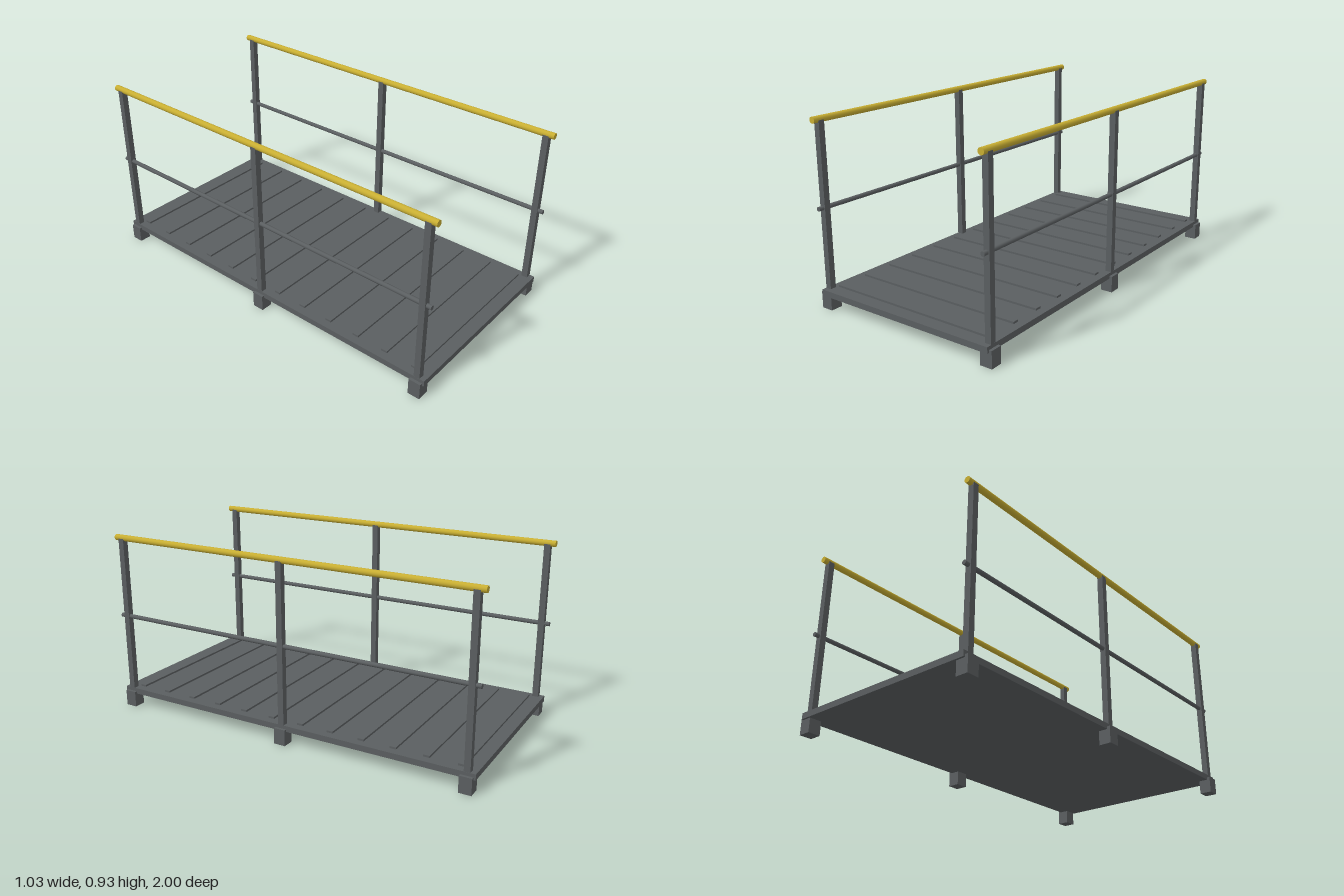
import * as THREE from 'three';

const steel = new THREE.MeshStandardMaterial({ color: 0x5a5e60 });
const yellow = new THREE.MeshStandardMaterial({ color: 0xc8ae32 });

export function createModel() {
  const model = new THREE.Group();
  model.name = 'footbridge';

  const add = (name, geometry, material, x, y, z) => {
    const mesh = new THREE.Mesh(geometry, material);
    mesh.name = name;
    mesh.position.set(x, y, z);
    model.add(mesh);
  };
  const rail = (radius) => new THREE.CylinderGeometry(radius, radius, 2, 16).rotateX(Math.PI / 2);

  // Deck plate with raised anti-slip strips
  add('deck', new THREE.BoxGeometry(1, 0.03, 2), steel, 0, 0.085, 0);
  const strip = new THREE.BoxGeometry(0.917, 0.012, 0.032);
  for (let i = 0; i < 12; i++) {
    add('gripStrip', strip, steel, 0, 0.104, (i - 5.5) / 6);
  }

  // Feet, posts and rails on both sides
  const foot = new THREE.BoxGeometry(0.062, 0.083, 0.062);
  const post = new THREE.BoxGeometry(0.031, 0.82, 0.031);
  const handrail = rail(0.016);
  const midRail = rail(0.011);
  for (const [side, s] of [['left', 1], ['right', -1]]) {
    const x = s * 0.484;
    for (const z of [-0.959, 0, 0.959]) {
      add(side + 'Foot', foot, steel, x, 0.0415, z);
      add(side + 'Post', post, steel, x, 0.505, z);
    }
    add(side + 'Handrail', handrail, yellow, x, 0.918, 0);
    add(side + 'MidRail', midRail, steel, x, 0.501, 0);
  }
  return model;
}
